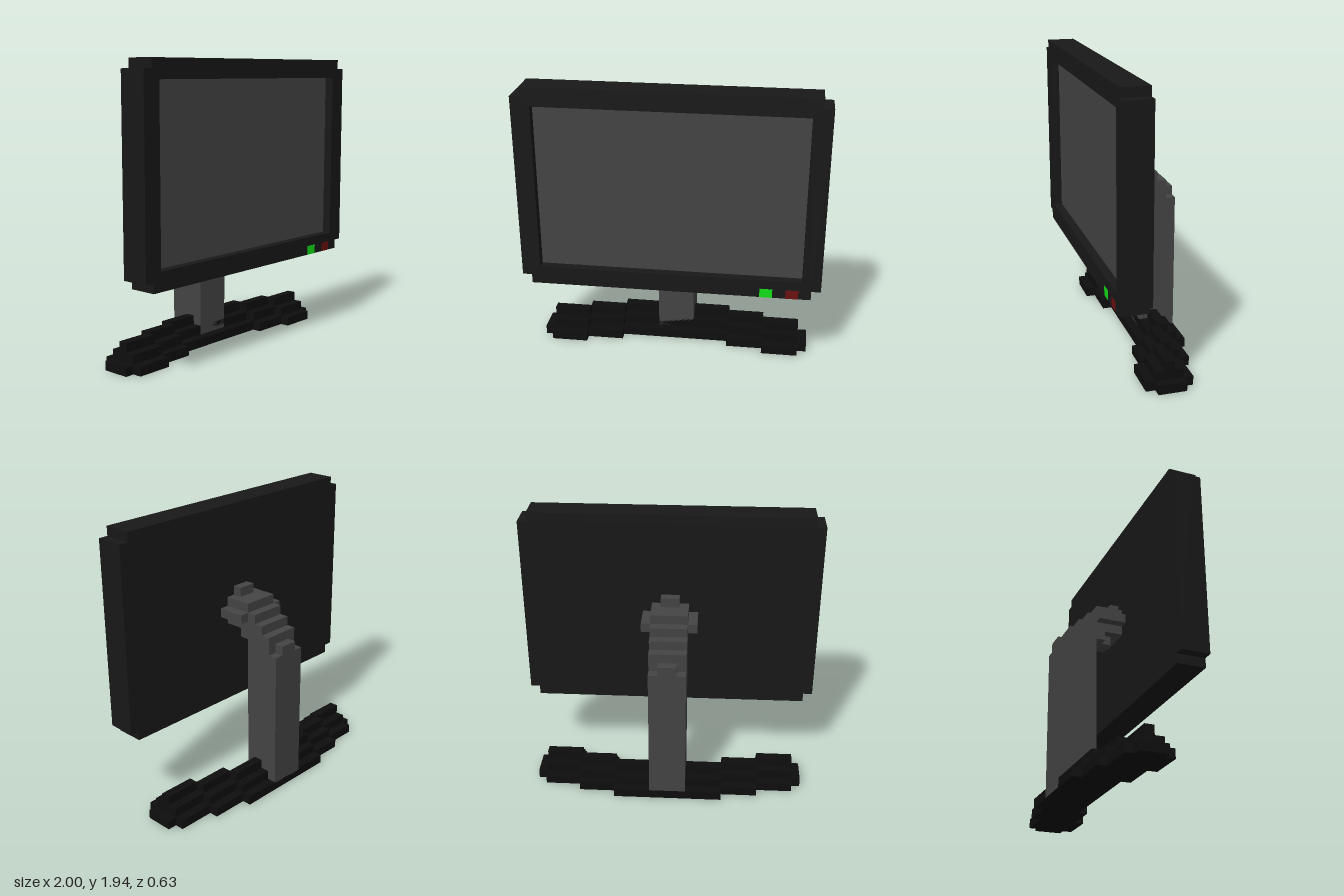
import * as THREE from 'three';

const U = 1 / 16; // block size; all measures below are in blocks

const paint = (color) => new THREE.MeshStandardMaterial({ color, flatShading: true });

export function createModel() {
  const model = new THREE.Group();
  const black = paint(0x181818), baseBlack = paint(0x0e0e0e), grey = paint(0x444444);
  const green = paint(0x12e018), red = paint(0x6c1010);

  const add = (parent, name, geometry, material) => {
    const mesh = new THREE.Mesh(geometry, material);
    mesh.name = name;
    parent.add(mesh);
    return mesh;
  };
  // Box given by its ranges along each axis
  const block = (parent, name, material, x0, x1, y0, y1, z0, z1) => {
    const g = new THREE.BoxGeometry((x1 - x0) * U, (y1 - y0) * U, (z1 - z0) * U);
    g.translate((x0 + x1) / 2 * U, (y0 + y1) / 2 * U, (z0 + z1) / 2 * U);
    return add(parent, name, g, material);
  };
  const outline = (points) => points.map(([a, b]) => new THREE.Vector2(a * U, b * U));
  const extrude = (shape, depth) =>
    new THREE.ExtrudeGeometry(shape, { depth: depth * U, bevelEnabled: false });

  // Display: casing with notched corners, raised bezel and recessed screen
  const display = new THREE.Group();
  display.name = 'display';
  model.add(display);
  const casing = () => new THREE.Shape(outline([
    [-15, 9], [15, 9], [15, 10], [16, 10], [16, 30], [15, 30],
    [15, 31], [-15, 31], [-15, 30], [-16, 30], [-16, 10], [-15, 10],
  ]));
  add(display, 'backCasing', extrude(casing(), 2).translate(0, 0, 2 * U), black);
  const ring = casing();
  ring.holes.push(new THREE.Path(outline([[-14, 11], [-14, 29], [14, 29], [14, 11]])));
  add(display, 'bezel', extrude(ring, 1).translate(0, 0, 4 * U), black);
  block(display, 'screen', grey, -14, 14, 11, 29, 4, 4.04);
  block(display, 'powerLight', green, 9.6, 10.95, 9, 10, 4.5, 5.03);
  block(display, 'statusLight', red, 12.33, 13.68, 9, 10, 4.5, 5.03);

  // Stand: stepped neck profile (z, y) swept across x
  const stand = new THREE.Group();
  stand.name = 'stand';
  model.add(stand);
  const neck = new THREE.Shape(outline([
    [-5, 0.05], [-1, 0.05], [-1, 17], [0, 17], [0, 18], [2, 18], [2, 21], [-1, 21],
    [-1, 20], [-2, 20], [-2, 19], [-3, 19], [-3, 18], [-4, 18], [-4, 16], [-5, 16],
  ]));
  add(stand, 'neck', extrude(neck, 4).translate(0, 0, -2 * U).rotateY(-Math.PI / 2), grey);
  block(stand, 'neckBackStep', grey, -1, 1, 16, 17, -5, -4);

  // Mount: stepped pieces where the neck meets the casing
  block(stand, 'mountTop', grey, -1, 1, 21, 22, 1, 2);
  block(stand, 'mountBottom', grey, -1, 1, 17, 18, 0, 1);
  for (const s of [-1, 1]) {
    block(stand, 'mountWing', grey, s * 2.5 - 0.5, s * 2.5 + 0.5, 19, 20, -1, 2);
  }

  // Base: three stacked tiers, each bowed towards the front at its ends
  const base = new THREE.Group();
  base.name = 'base';
  model.add(base);
  const segments = [[6, 10, -4, 1], [10, 14, -3, 2]];
  for (let tier = 0; tier < 3; tier++) {
    block(base, 'baseCentre', baseBlack, -6, 6, tier, tier + 1, tier - 5, -tier);
    for (const [x0, x1, back, front] of segments) {
      block(base, 'baseLeft', baseBlack, x0, x1, tier, tier + 1, back + tier, front - tier);
      block(base, 'baseRight', baseBlack, -x1, -x0, tier, tier + 1, back + tier, front - tier);
    }
  }
  block(base, 'baseLeftTip', baseBlack, 14, 15, 0, 1, -2, 1);
  block(base, 'baseRightTip', baseBlack, -15, -14, 0, 1, -2, 1);

  return model;
}
